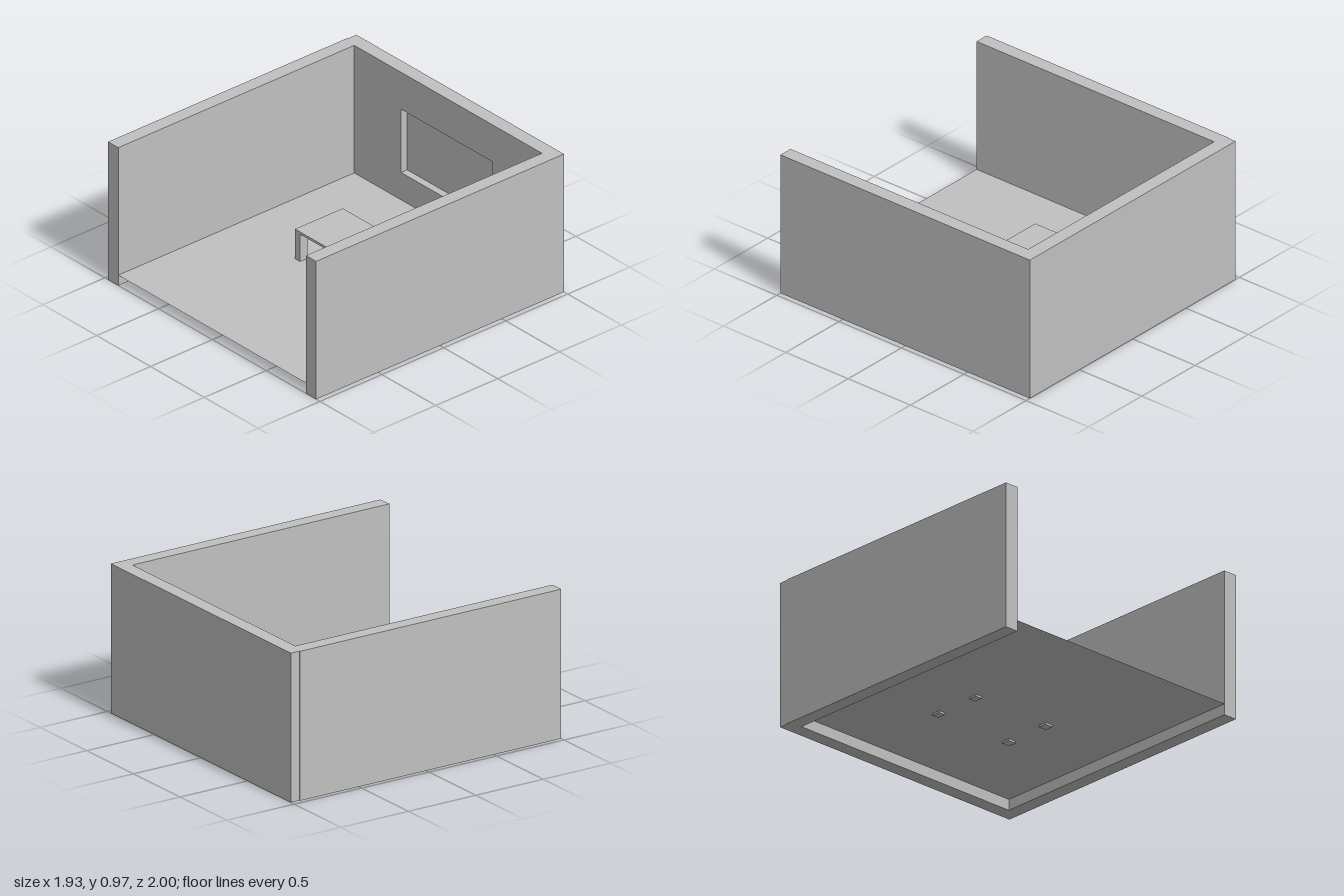
import * as THREE from 'three';

export function createModel() {
  const model = new THREE.Group();
  model.name = 'openRoom';
  const plaster = new THREE.MeshStandardMaterial({ color: 0xc0c0c0 });
  plaster.name = 'grey plaster';
  plaster.side = THREE.DoubleSide;

  const add = (name, geometry, parent = model) => {
    const mesh = new THREE.Mesh(geometry, plaster);
    mesh.name = name;
    parent.add(mesh);
    return mesh;
  };

  // Box given by its limits on each axis
  const block = (name, [x0, x1], [y0, y1], [z0, z1], parent) =>
    add(name, new THREE.BoxGeometry(x1 - x0, y1 - y0, z1 - z0), parent)
      .position.set((x0 + x1) / 2, (y0 + y1) / 2, (z0 + z1) / 2);

  const rect = (path, x0, x1, y0, y1) =>
    path.moveTo(x0, y0).lineTo(x1, y0).lineTo(x1, y1).lineTo(x0, y1).closePath();

  const height = 0.97;

  // Side walls; one stands slightly proud of the back wall's end
  block('leftWall', [0.87, 0.965], [0, height], [-0.905, 1]);
  block('rightWall', [-0.97, -0.875], [0, height], [-0.935, 1]);

  // Back wall: solid outer layer and an inner layer with a window recess
  block('backWallOuter', [-0.965, 0.965], [0, height], [-1, -0.955]);
  const inner = rect(new THREE.Shape(), -0.965, 0.965, 0, height);
  inner.holes.push(rect(new THREE.Path(), -0.44, 0.41, 0.265, 0.71));
  add('backWallInner', new THREE.ExtrudeGeometry(inner, { depth: 0.05, bevelEnabled: false }))
    .position.z = -0.955;

  // Thin floor sheet raised above the foot of the walls
  const floor = add('floor', new THREE.PlaneGeometry(1.884, 1.91).rotateX(-Math.PI / 2));
  floor.position.set(0.022, 0.073, 0.045);

  // Low table, its legs reaching just through the floor
  const table = new THREE.Group();
  table.name = 'table';
  model.add(table);
  block('tableTop', [-0.32, 0.322], [0.265, 0.282], [-0.33, 0.055], table);
  for (const x of [[-0.32, -0.273], [0.265, 0.322]])
    for (const z of [[-0.33, -0.27], [-0.005, 0.055]])
      block('tableLeg', x, [0.06, 0.265], z, table);

  return model;
}
